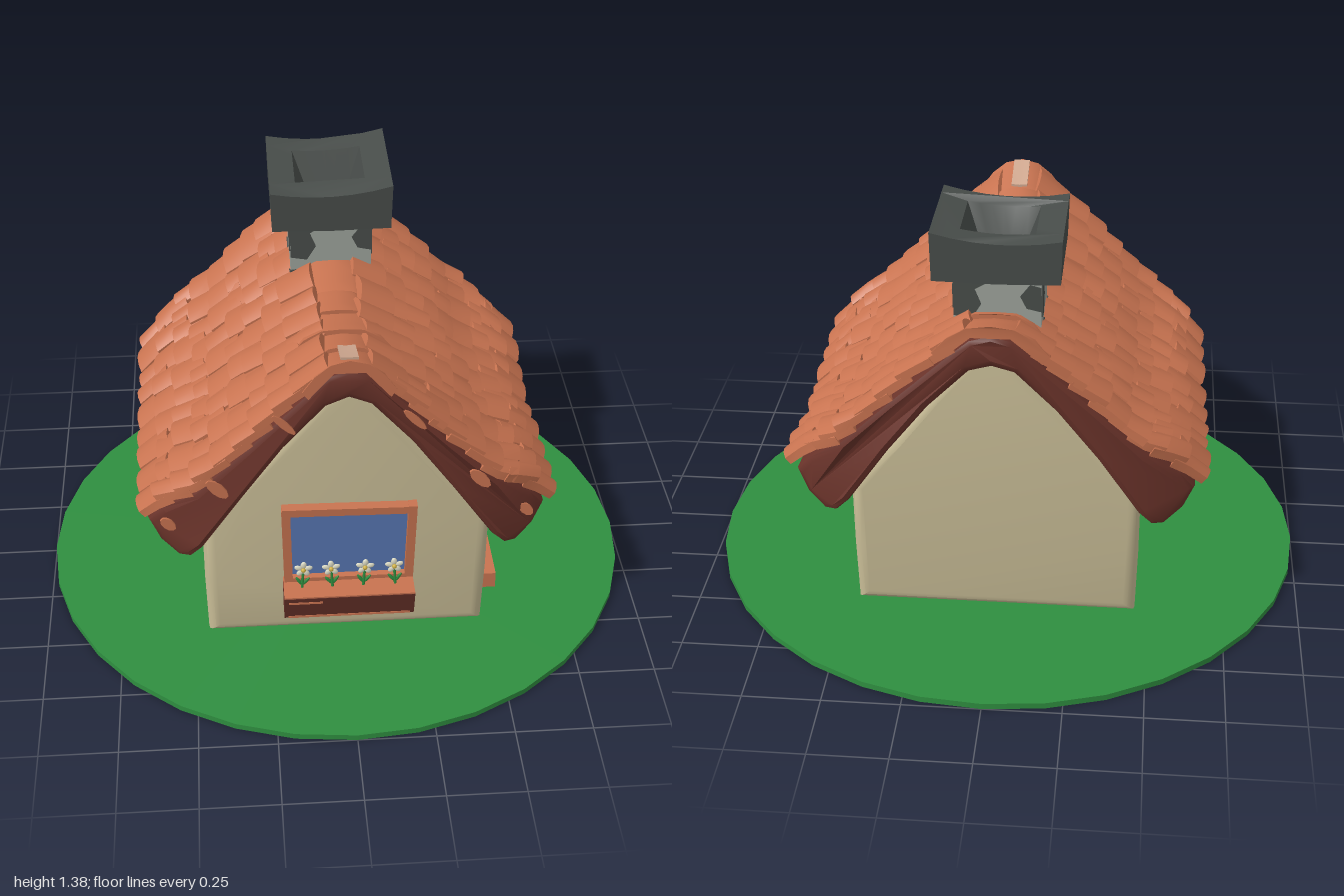
import * as THREE from 'three';
import { toCreasedNormals } from 'three/addons/utils/BufferGeometryUtils.js';

const mat = (name, color) => {
  const m = new THREE.MeshStandardMaterial({ color });
  m.name = name;
  return m;
};

export function createModel() {
  const house = new THREE.Group();
  house.name = 'cottage';
  const grass = mat('grass green', 0x2f8f40), plaster = mat('cream plaster', 0xcbbf98);
  const clay = mat('clay orange', 0xc87350), pale = mat('worn clay', 0xd0a890);
  const timber = mat('dark red timber', 0x6a332a), glass = mat('window blue', 0x5878b4);
  const stone = mat('light stone', 0x9da39b), slate = mat('dark stone', 0x484d4a);
  const petal = mat('petal white', 0xe0dfc8), pollen = mat('flower yellow', 0xd0b040);

  let seed = 7;
  const rand = () => (seed = (seed * 16807) % 2147483647) / 2147483647;
  const add = (name, geo, material, parent = house) => {
    const m = new THREE.Mesh(geo, material);
    m.name = name;
    parent.add(m);
    return m;
  };
  const box = (name, material, w, h, d, x, y, z, parent) => {
    const m = add(name, new THREE.BoxGeometry(w, h, d), material, parent);
    m.position.set(x, y, z);
    return m;
  };
  // Moves every vertex by a rule, then rebuilds normals with sharp edges kept
  const warp = (geo, rule, crease = 0.7) => {
    const p = geo.attributes.position, v = new THREE.Vector3();
    for (let i = 0; i < p.count; i++) {
      rule(v.fromBufferAttribute(p, i));
      p.setXYZ(i, v.x, v.y, v.z);
    }
    return toCreasedNormals(geo, crease);
  };
  const shapeOf = pts => new THREE.Shape(pts.map(([x, y]) => new THREE.Vector2(x, y)));
  const extrude = (shape, depth, opts = {}) =>
    new THREE.ExtrudeGeometry(shape, { depth, bevelEnabled: false, curveSegments: 12, ...opts }).translate(0, 0, -depth / 2);
  const mirrored = pts => [...pts, ...pts.slice().reverse().map(([x, y]) => [-x, y])];

  // Sagging ridge, rounded eave corners
  const sag = v => {
    const a = Math.abs(v.x), t = v.z / 0.6, ridge = Math.max(0, 1 - a / 0.35);
    v.y -= (0.035 + 0.075 * ridge) * Math.max(0, 1 - t * t) + 0.03 * ridge * Math.max(0, -t);
    v.y += 0.03 * THREE.MathUtils.smoothstep(a, 0.42, 0.6);
    v.z *= 1 - 0.14 * THREE.MathUtils.smoothstep(a, 0.46, 0.68);
    if (v.z < 0) v.z *= 1 + 0.06 * ridge;
  };

  // Ground disc
  add('ground', new THREE.CylinderGeometry(1, 1, 0.02, 32).translate(0, 0.01, 0), grass);

  // Walls with gables, leaning outward toward the top
  const wallHalf = [[0.46, 0.02], [0.465, 0.25], [0.465, 0.5], [0.33, 0.69], [0.2, 0.87], [0.09, 1.01], [0.03, 1.06]];
  const wallGeo = extrude(shapeOf(mirrored(wallHalf)), 0.91,
    { steps: 10, bevelEnabled: true, bevelThickness: 0.04, bevelSize: 0.04, bevelOffset: -0.04, bevelSegments: 4 });
  add('walls', warp(wallGeo, v => {
    v.z *= 1 + 0.12 * v.y;
    if (v.y > 0.45) {
      const k = Math.max(0, 1 - Math.pow(v.z / 0.6, 2));
      v.y -= 0.11 * k * (v.y - 0.45) / 0.6 + 0.02 * Math.max(0, -v.z);
    }
  }, 0.5), plaster);

  // Roof slab
  const outer = [[0, 1.14], [0.07, 1.11], [0.14, 1.04], [0.32, 0.85], [0.48, 0.685], [0.59, 0.575], [0.635, 0.51]];
  const inner = [[0.6, 0.44], [0.54, 0.405], [0.5, 0.42], [0.46, 0.47], [0.33, 0.665], [0.2, 0.85], [0.07, 1.0], [0, 1.03]];
  const half = [...outer, ...inner];
  const slab = shapeOf([...half, ...half.slice(1, -1).reverse().map(([x, y]) => [-x, y])]);
  add('roofSlab', warp(extrude(slab, 1.15,
    { steps: 14, bevelEnabled: true, bevelThickness: 0.025, bevelSize: 0.02, bevelOffset: -0.02, bevelSegments: 2 }), sag), timber);

  // Roof tiles: overlapping rows of arched slabs down each slope
  const tiles = new THREE.Group();
  tiles.name = 'roofTiles';
  house.add(tiles);
  const slope = new THREE.CatmullRomCurve3(outer.map(([x, y]) => new THREE.Vector3(x, y, 0)));
  const rows = 9;
  for (const side of [0, Math.PI]) {
    for (let r = 0; r < rows; r++) {
      const s = 0.13 + 0.79 * r / (rows - 1);
      const p = slope.getPointAt(s), t = slope.getTangentAt(s);
      let z = -0.6;
      while (z < 0.595) {
        let w = (z === -0.6 && r % 2 ? 0.06 : 0.1) + 0.06 * rand();
        if (z + w > 0.54) w = 0.6 - z;
        const lift = 0.012 + 0.014 * rand();
        const geo = new THREE.BoxGeometry(0.14, 0.026, w * 1.03, 2, 1, 4);
        const pos = geo.attributes.position;
        for (let i = 0; i < pos.count; i++) {
          const q = 2 * pos.getZ(i) / w;
          pos.setY(i, pos.getY(i) + 0.016 * (1 - q * q));
        }
        geo.rotateY((rand() - 0.5) * 0.14).rotateZ(0.1 + 0.08 * rand()).translate((rand() - 0.5) * 0.025, lift, 0);
        geo.rotateZ(Math.atan2(t.y, t.x)).translate(p.x, p.y, z + w / 2).rotateY(side);
        const k = rand(), tip = k < 0.18 ? pale : k < 0.6 ? timber : clay;
        const groups = geo.groups.slice();
        const done = warp(geo.toNonIndexed(), sag);
        done.clearGroups();
        groups.forEach(g => done.addGroup(g.start, g.count, g.materialIndex));
        add('tile', done, [tip, clay, clay, timber, clay, clay], tiles);
        z += w;
      }
    }
  }

  // Ridge caps, each one overlapping the next
  const capTop = [[0.15, 1.045], [0.11, 1.1], [0.06, 1.14], [0, 1.155]];
  const capLoop = [...capTop, ...capTop.slice(0, -1).reverse().map(([x, y]) => [-x, y]),
    [-0.13, 1.02], [-0.05, 1.11], [0.05, 1.11], [0.13, 1.02]];
  for (let i = 0; i < 8; i++) {
    const k = 0.85 + 0.3 * rand(), zc = -0.525 + 0.15 * i;
    const geo = extrude(shapeOf(capLoop), 0.17, { steps: 3 });
    const dir = i < 4 ? -1 : 1;
    add('ridgeCap', warp(geo, v => {
      v.x *= i === 0 ? 1.2 : k;
      if (i === 0) v.y -= 0.06 * Math.abs(v.x);
      v.y += 0.01 + dir * v.z * 0.1;
      v.z += zc;
      sag(v);
    }), clay, tiles);
  }
  const worn = new THREE.BoxGeometry(0.055, 0.008, 0.13, 2, 1, 3).translate(0, 1.174, 0.53);
  add('wornRidge', warp(worn, sag), pale, tiles);

  // Worn clay spots on the front roof edge
  for (const sx of [-1, 1]) for (const [x, y, w, h] of [[0.41, 0.71, 0.045, 0.02], [0.57, 0.52, 0.03, 0.018], [0.2, 0.945, 0.05, 0.012]]) {
    const geo = new THREE.CylinderGeometry(1, 1, 0.008, 10).rotateX(Math.PI / 2).scale(w, h, 1)
      .rotateZ(-0.8).translate(x, y, 0.602).rotateY(0);
    const spot = warp(geo, v => { const a = new THREE.Vector3(x, y, 0.6); sag(a); v.y += a.y - y; v.z += a.z - 0.6; });
    add('roofEdgeSpot', sx > 0 ? spot : spot.translate(-2 * x, 0, 0), clay);
  }

  // Chimney stack with dark weathered patches
  const chimney = new THREE.Group();
  chimney.name = 'chimney';
  chimney.position.set(-0.005, 0, -0.31);
  house.add(chimney);
  box('chimneyStack', stone, 0.27, 0.32, 0.28, 0, 1.07, 0, chimney);
  for (let f = 0; f < 4; f++) {
    const face = new THREE.Group();
    face.name = 'chimneyPatches';
    face.rotation.y = f * Math.PI / 2;
    chimney.add(face);
    const d = f % 2 ? 0.137 : 0.142;
    const patches = [
      [[-0.135, 0.92], [0.135, 0.92], [0.135, 1.02], [0.07, 1.025], [0.03, 1.0], [-0.06, 1.04], [-0.135, 1.03]],
      [[-0.135, 1.08], [-0.08, 1.07], [-0.05, 1.12], [-0.07, 1.17], [-0.02, 1.2], [-0.03, 1.23], [-0.135, 1.23]],
      [[0.135, 1.1], [0.135, 1.18], [0.1, 1.19], [0.07, 1.15], [0.09, 1.11]]];
    for (const pts of patches) add('patch', extrude(shapeOf(pts), 0.004).translate(0, 0, d), slate, face);
  }

  // Chimney cap: square ring with a dipped top and tapered opening
  const square = h => {
    const c = [[-h, -h], [h, -h], [h, h], [-h, h]], out = [];
    c.forEach(([x, y], i) => {
      const [nx, ny] = c[(i + 1) % 4];
      for (let k = 0; k < 6; k++) out.push(new THREE.Vector2(x + (nx - x) * k / 6, y + (ny - y) * k / 6));
    });
    return out;
  };
  const ring = new THREE.Shape(square(0.2));
  ring.holes.push(new THREE.Path(square(0.115)));
  const capGeo = extrude(ring, 0.13).rotateX(-Math.PI / 2);
  add('chimneyCap', warp(capGeo, v => {
    const hole = Math.max(Math.abs(v.x), Math.abs(v.z)) < 0.15, top = v.y > 0;
    v.y += 1.275;
    if (top) v.y += 0.6 * v.x * v.x + 0.04 * v.x - 0.03 * v.z;
    else if (hole) { v.x *= 0.62; v.z *= 0.62; v.y += 0.02; }
    else { v.x *= 0.98; v.z *= 0.98; v.y += 0.02 * Math.abs(v.x) - 0.02 * v.z; }
  }), slate, chimney);
  box('flueFloor', slate, 0.2, 0.01, 0.2, 0, 1.238, 0, chimney);

  // Front window, leaning with the wall
  const win = new THREE.Group();
  win.name = 'window';
  win.position.set(0.005, 0, 0.497);
  win.rotation.x = 0.06;
  house.add(win);
  box('glass', glass, 0.39, 0.29, 0.01, 0, 0.415, 0.004, win);
  for (const sx of [-1, 1]) box('frameSide', clay, 0.028, 0.32, 0.05, sx * 0.2, 0.42, 0.005, win).rotation.z = sx * -0.02;
  box('frameTop', clay, 0.43, 0.028, 0.05, 0, 0.567, 0.005, win).rotation.z = -0.015;
  box('frameBottom', clay, 0.42, 0.025, 0.05, 0, 0.275, 0.005, win);

  // Flower box
  const trough = extrude(shapeOf([[0.49, 0.155], [0.598, 0.165], [0.625, 0.265], [0.49, 0.262]]), 0.425);
  add('flowerBox', trough.rotateY(-Math.PI / 2).translate(0.003, 0, 0), timber);
  box('flowerBoxTop', clay, 0.425, 0.006, 0.11, 0.003, 0.267, 0.568);
  box('flowerBoxTrim', clay, 0.4, 0.008, 0.008, 0.003, 0.17, 0.598);
  box('flowerBoxScrape', clay, 0.11, 0.008, 0.006, -0.14, 0.243, 0.618);

  // Flowers
  [-0.15, -0.05, 0.05, 0.155].forEach((x, i) => {
    const f = new THREE.Group();
    f.name = 'flower';
    f.position.set(x, 0.265, 0.57);
    f.rotation.z = (i % 2 ? 1 : -1) * 0.06;
    house.add(f);
    add('stem', new THREE.CylinderGeometry(0.005, 0.005, 0.075, 6).translate(0, 0.037, 0), grass, f);
    for (const sx of [-1, 1])
      add('leaf', new THREE.SphereGeometry(1, 8, 6).scale(0.006, 0.02, 0.004).rotateZ(sx * -0.6).translate(sx * 0.011, 0.03, 0), grass, f);
    for (let k = 0; k < 5; k++)
      add('petal', new THREE.SphereGeometry(1, 8, 6).scale(0.01, 0.014, 0.005).translate(0, 0.017, 0)
        .rotateZ(k * Math.PI * 0.4).translate(0, 0.083, 0.004), petal, f);
    add('flowerCentre', new THREE.SphereGeometry(0.008, 8, 6).translate(0, 0.083, 0.009), pollen, f);
  });

  // Arched plank door on the left wall, with a step
  const arch = new THREE.Shape();
  arch.moveTo(-0.145, 0.03).lineTo(0.145, 0.03).lineTo(0.145, 0.3);
  arch.absellipse(0, 0.3, 0.145, 0.1, 0, Math.PI, false);
  const doorBack = extrude(arch, 0.02).rotateY(Math.PI / 2).translate(0.462, 0, 0.19);
  add('doorBacking', doorBack, timber);
  for (let i = 0; i < 13; i++) {
    const y = 0.098 + i * 0.0238, e = Math.max(0, (y + 0.006 - 0.3) / 0.1);
    const w = 0.288 * Math.sqrt(Math.max(0.05, 1 - e * e));
    box('doorPlank', clay, 0.014, 0.018, w, 0.47, y, 0.19).rotation.x = (rand() - 0.5) * 0.03;
  }
  box('doorStep', clay, 0.08, 0.06, 0.285, 0.49, 0.056, 0.19);

  return house;
}
